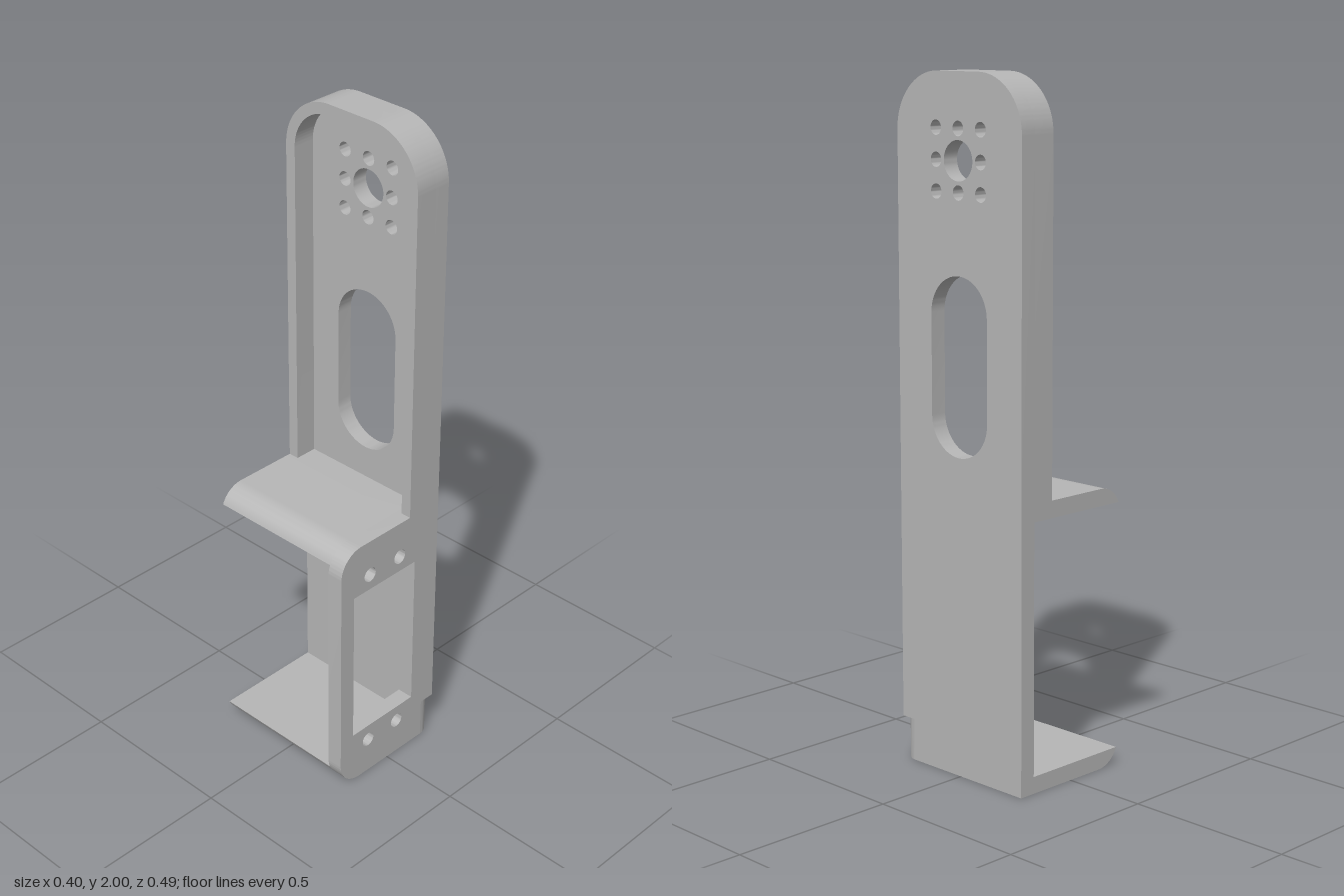
import * as THREE from 'three';
import { toCreasedNormals } from 'three/addons/utils/BufferGeometryUtils.js';

const H = 0.243;      // half depth in z
const T = 0.05;       // wall thickness
const BOX = 0.835;    // height of the lower bracket

export function createModel() {
  const model = new THREE.Group();
  model.name = 'servoArmBracket';
  const grey = new THREE.MeshStandardMaterial({ color: 0xb6b6b6 });
  grey.name = 'grey plastic';

  const extrude = (shape, depth) => new THREE.ExtrudeGeometry(shape, { depth, bevelEnabled: false, curveSegments: 20 });
  const add = (name, geometry) => {
    const mesh = new THREE.Mesh(toCreasedNormals(geometry, 0.5), grey);
    mesh.name = name;
    model.add(mesh);
  };
  const punch = (shape, x, y, r) => shape.holes.push(new THREE.Path().absarc(x, y, r, 0, Math.PI * 2, true));
  // Shapes drawn in (-z, y) are extruded along +x
  const alongX = (shape, x0, x1) => extrude(shape, x1 - x0).rotateY(Math.PI / 2).translate(x0, 0, 0);

  // Tall side wall: rounded top, notch at the lower front corner
  const R = 0.163, notch = 0.125;
  const wall = new THREE.Shape();
  wall.moveTo(-H + T, 0);
  wall.lineTo(H, 0);
  wall.lineTo(H, 2 - R);
  wall.absarc(H - R, 2 - R, R, 0, Math.PI / 2);
  wall.absarc(-H + R, 2 - R, R, Math.PI / 2, Math.PI);
  wall.lineTo(-H, notch);
  wall.lineTo(-H + T, notch);
  wall.closePath();

  // Horn mounting holes
  punch(wall, 0, 1.76, 0.056);
  for (const i of [-1, 0, 1]) for (const j of [-1, 0, 1]) {
    if (i || j) punch(wall, i * 0.087, 1.76 + j * 0.087, 0.021);
  }
  // Long slot
  const slot = new THREE.Path();
  slot.absarc(0, 1.335, 0.11, 0, Math.PI);
  slot.absarc(0, 1.045, 0.11, Math.PI, Math.PI * 2);
  slot.closePath();
  wall.holes.push(slot);
  add('sideWall', alongX(wall, 0.15, 0.2));

  // Raised rim around the upper arm
  const w = 0.033, r = R - w, h = H - w;
  const rim = new THREE.Shape();
  rim.moveTo(H, BOX);
  rim.lineTo(H, 2 - R);
  rim.absarc(H - R, 2 - R, R, 0, Math.PI / 2);
  rim.absarc(-H + R, 2 - R, R, Math.PI / 2, Math.PI);
  rim.lineTo(-H, BOX);
  rim.lineTo(-h, BOX);
  rim.lineTo(-h, 2 - R);
  rim.absarc(-h + r, 2 - R, r, Math.PI, Math.PI / 2, true);
  rim.absarc(h - r, 2 - R, r, Math.PI / 2, 0, true);
  rim.lineTo(h, BOX);
  rim.closePath();
  add('armRim', alongX(rim, 0.08, 0.15));

  // Front plate with window and screw holes
  const c = 0.08;
  const front = new THREE.Shape();
  front.moveTo(0.15, 0);
  front.lineTo(0.15, BOX);
  front.lineTo(-0.2 + c, BOX);
  front.absarc(-0.2 + c, BOX - c, c, Math.PI / 2, Math.PI);
  front.absarc(-0.2 + c, c, c, Math.PI, Math.PI * 1.5);
  front.closePath();
  front.holes.push(new THREE.Path([[-0.148, 0.17], [-0.148, 0.67], [0.105, 0.67], [0.105, 0.17]]
    .map(([x, y]) => new THREE.Vector2(x, y))));
  for (const x of [-0.083, 0.04]) for (const y of [0.118, 0.72]) punch(front, x, y, 0.023);
  add('frontPlate', extrude(front, T).translate(0, 0, H - T));

  // Rounded foot of the front corner, below the notch
  const foot = new THREE.Shape();
  foot.moveTo(0, 0);
  foot.lineTo(T, 0);
  foot.absarc(0, 0, T, 0, Math.PI / 2);
  foot.closePath();
  add('roundedCorner', extrude(foot, notch).rotateX(-Math.PI / 2).scale(1, 1, -1)
    .rotateX(0).translate(0.15, 0, H - T));
  // The mirrored foot needs its corner order flipped back
  const p = model.children.at(-1).geometry;
  for (const a of Object.values(p.attributes)) {
    const n = a.itemSize;
    for (let i = 0; i < a.count; i += 3) for (let k = 0; k < n; k++) {
      const s = a.array[(i + 1) * n + k];
      a.array[(i + 1) * n + k] = a.array[(i + 2) * n + k];
      a.array[(i + 2) * n + k] = s;
    }
  }
  model.children.at(-1).geometry = toCreasedNormals((p.computeVertexNormals(), p), 0.5);

  // Upper and lower shelves, rounded on the outside edge
  const shelfPoints = [[0.15, BOX - T], [0.15, BOX]];
  for (let i = 0; i <= 12; i++) {
    const a = Math.PI / 2 + (i / 12) * 1.187;
    shelfPoints.push([-0.2 + c + c * Math.cos(a), BOX - c + c * Math.sin(a)]);
  }
  for (const [name, flip] of [['upperShelf', false], ['lowerShelf', true]]) {
    const shape = new THREE.Shape(shelfPoints.map(([x, y]) => new THREE.Vector2(x, flip ? BOX - y : y)));
    add(name, extrude(shape, 2 * H - T).translate(0, 0, -H));
  }
  return model;
}
